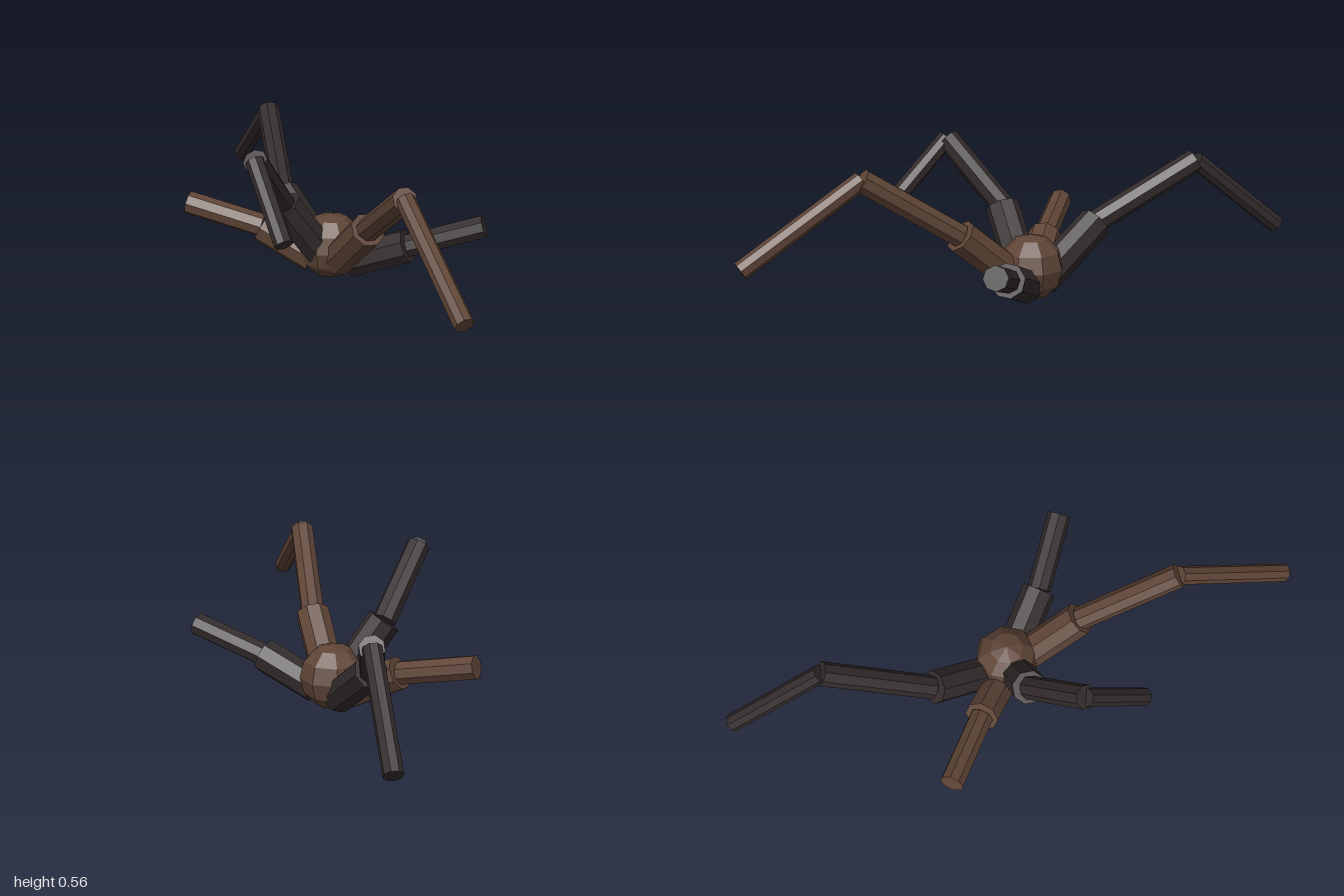
import * as THREE from 'three';

const brown = new THREE.MeshStandardMaterial({ color: 0x5f4537, flatShading: true });
brown.name = 'brown';
const charcoal = new THREE.MeshStandardMaterial({ color: 0x332b2c, flatShading: true });
charcoal.name = 'charcoal';

const UP = new THREE.Vector3(0, 1, 0);
const SEGMENTS = [['hipSegment', 0.062], ['upperLeg', 0.043], ['lowerLeg', 0.033]];

// Eight-sided rod between two joints
function rod(name, from, to, radius, material) {
  const a = new THREE.Vector3(...from), b = new THREE.Vector3(...to);
  const dir = b.clone().sub(a);
  const mesh = new THREE.Mesh(new THREE.CylinderGeometry(radius, radius, dir.length(), 8), material);
  mesh.name = name;
  mesh.position.copy(a).add(b).multiplyScalar(0.5);
  mesh.quaternion.setFromUnitVectors(UP, dir.normalize());
  return mesh;
}

// Each leg is a chain of joints, from the body outwards
const LEGS = [
  ['leftLeg', brown, [[0.03, 0.085, -0.04], [0.25, 0.275, 0.015], [0.57, 0.5, 0.15], [0.975, 0.235, 0.285]]],
  ['rightLeg', charcoal, [[-0.07, 0.065, -0.06], [-0.32, 0.24, -0.08], [-0.64, 0.455, -0.275], [-0.97, 0.175, -0.4]]],
  ['frontLeg', charcoal, [[-0.02, 0.12, 0], [-0.055, 0.31, 0.135], [0.035, 0.54, 0.335], [0.255, 0.315, 0.395]]],
  ['backLeftLeg', charcoal, [[0.04, 0.072, -0.09], [0.225, 0.155, -0.2], [0.435, 0.245, -0.37]]],
  ['frontRightLeg', brown, [[-0.07, 0.075, -0.015], [-0.23, 0.175, 0.09], [-0.465, 0.24, 0.25]]],
];

export function createModel() {
  const model = new THREE.Group();
  model.name = 'leggedCreature';

  // Round body
  const body = new THREE.Mesh(new THREE.SphereGeometry(0.12, 8, 6), brown);
  body.name = 'body';
  body.rotation.y = Math.PI / 8;
  body.position.set(-0.02, 0.125, -0.055);
  model.add(body);

  // Legs
  for (const [name, material, joints] of LEGS) {
    const leg = new THREE.Group();
    leg.name = name;
    for (let i = 0; i < joints.length - 1; i++) {
      const [part, radius] = SEGMENTS[i];
      leg.add(rod(part, joints[i], joints[i + 1], radius, material));
    }
    model.add(leg);
  }
  return model;
}
